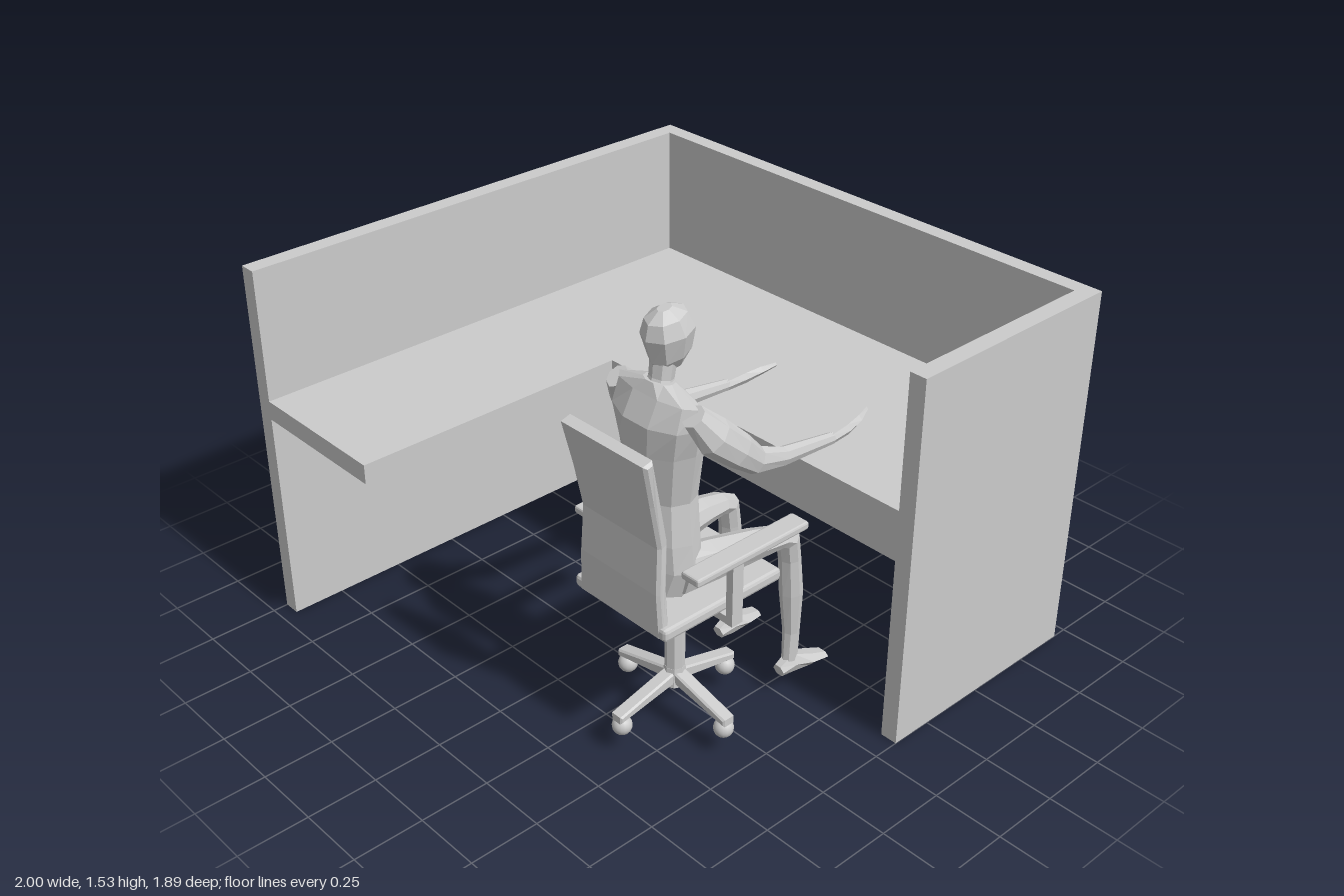
import * as THREE from 'three';
import { RoundedBoxGeometry } from 'three/addons/geometries/RoundedBoxGeometry.js';

const flat = new THREE.MeshStandardMaterial({ color: 0xcccccc, flatShading: true });
const smooth = new THREE.MeshStandardMaterial({ color: 0xcccccc });

function add(parent, name, geometry, x = 0, y = 0, z = 0, material = flat) {
  const mesh = new THREE.Mesh(geometry, material);
  mesh.name = name;
  mesh.position.set(x, y, z);
  parent.add(mesh);
  return mesh;
}

const group = (parent, name) => {
  const g = new THREE.Group();
  g.name = name;
  parent.add(g);
  return g;
};

const outline = (points) => new THREE.Shape(points.map(([a, b]) => new THREE.Vector2(a, b)));

// Floor plan given as [x, z], raised between two heights
function slab(points, bottom, top) {
  return new THREE.ExtrudeGeometry(outline(points), { depth: top - bottom, bevelEnabled: false })
    .rotateX(Math.PI / 2).translate(0, top, 0);
}

// Side profile given as [z, y], centred across the width
function sideProfile(points, width, bevel = 0.006) {
  return new THREE.ExtrudeGeometry(outline(points), {
    depth: width - 2 * bevel, bevelEnabled: true, bevelSize: bevel,
    bevelOffset: -bevel, bevelThickness: bevel, bevelSegments: 1,
  }).translate(0, 0, bevel - width / 2).rotateY(-Math.PI / 2);
}

// Faceted body through sections [x, y, z, half width, half depth]
function loft(sections, sides = 8) {
  const centres = sections.map(([x, y, z]) => new THREE.Vector3(x, y, z));
  const last = sections.length - 1;
  const positions = [], index = [];
  sections.forEach(([x, y, z, w, d], i) => {
    const t = new THREE.Vector3();
    if (i > 0) t.add(centres[i].clone().sub(centres[i - 1]).normalize());
    if (i < last) t.add(centres[i + 1].clone().sub(centres[i]).normalize());
    t.x = 0;
    t.normalize();
    for (let j = 0; j < sides; j++) {
      const a = (j / sides) * Math.PI * 2;
      const c = Math.cos(a) * w, s = Math.sin(a) * d;
      positions.push(x + c, y + t.z * s, z - t.y * s);
    }
  });
  for (let i = 0; i < last; i++) {
    for (let j = 0; j < sides; j++) {
      const a = i * sides + j, b = i * sides + (j + 1) % sides;
      index.push(a, b, b + sides, a, b + sides, a + sides);
    }
  }
  // End caps
  for (let j = 1; j < sides - 1; j++) {
    const e = last * sides;
    index.push(0, j + 1, j, e, e + j, e + j + 1);
  }
  const g = new THREE.BufferGeometry();
  g.setAttribute('position', new THREE.Float32BufferAttribute(positions, 3));
  g.setIndex(index);
  g.computeVertexNormals();
  return g;
}

function buildChair(parent) {
  const chair = group(parent, 'chair');
  const zc = 0.345;

  // Four-way base with ball casters
  for (let i = 0; i < 4; i++) {
    const leg = group(chair, 'baseLeg');
    leg.position.z = zc;
    leg.rotation.y = (i * Math.PI) / 2;
    add(leg, 'baseBeam', sideProfile([[0, 0.165], [0.03, 0.165], [0.255, 0.125], [0.255, 0.152], [0.03, 0.21], [0, 0.21]], 0.05));
    add(leg, 'casterStem', new THREE.CylinderGeometry(0.01, 0.01, 0.04, 8), 0, 0.125, 0.23);
    add(leg, 'caster', new THREE.SphereGeometry(0.034, 16, 12), 0, 0.1, 0.23, smooth);
  }
  add(chair, 'baseHub', new THREE.CylinderGeometry(0.035, 0.042, 0.07, 8), 0, 0.19, zc);
  add(chair, 'column', new THREE.CylinderGeometry(0.034, 0.034, 0.35, 8), 0, 0.37, zc);

  // Seat and backrest
  add(chair, 'seat', new RoundedBoxGeometry(0.42, 0.045, 0.5, 1, 0.012), 0, 0.562, 0.33);
  const backrest = sideProfile([[0.54, 0.545], [0.58, 0.545], [0.583, 0.7], [0.573, 0.86], [0.605, 1.02], [0.64, 1.175],
    [0.603, 1.185], [0.565, 1.02], [0.535, 0.87], [0.543, 0.7]], 0.38, 0.01);
  const p = backrest.attributes.position;
  for (let i = 0; i < p.count; i++) {
    p.setX(i, p.getX(i) * (1 - 0.07 * Math.sin((p.getY(i) - 0.545) / 0.64 * Math.PI)));
  }
  backrest.computeVertexNormals();
  add(chair, 'backrest', backrest);

  // Armrests on a bar below the seat
  add(chair, 'armBar', new THREE.BoxGeometry(0.52, 0.028, 0.045), 0, 0.528, 0.325);
  for (const s of [-1, 1]) {
    add(chair, 'armPost', new THREE.BoxGeometry(0.028, 0.25, 0.045), s * 0.246, 0.638, 0.325);
    add(chair, 'armPad', new RoundedBoxGeometry(0.075, 0.028, 0.475, 1, 0.007), s * 0.245, 0.764, 0.278);
  }
}

function buildFigure(parent) {
  const figure = group(parent, 'seatedFigure');
  add(figure, 'torso', loft([
    [0, 0.585, 0.42, 0.11, 0.08], [0, 0.68, 0.4, 0.145, 0.1], [0, 0.78, 0.4, 0.135, 0.1],
    [0, 0.92, 0.395, 0.118, 0.095], [0, 1.1, 0.402, 0.15, 0.108], [0, 1.2, 0.415, 0.175, 0.098],
    [0, 1.27, 0.415, 0.17, 0.055], [0, 1.305, 0.41, 0.055, 0.042],
  ], 10));
  add(figure, 'neck', loft([[0, 1.26, 0.415, 0.055, 0.048], [0, 1.31, 0.402, 0.04, 0.038], [0, 1.39, 0.39, 0.042, 0.042]]));
  add(figure, 'head', loft([
    [0, 1.34, 0.352, 0.03, 0.035], [0, 1.38, 0.368, 0.058, 0.074], [0, 1.455, 0.377, 0.077, 0.088],
    [0, 1.505, 0.385, 0.058, 0.07], [0, 1.53, 0.39, 0.02, 0.025],
  ]));

  for (const s of [-1, 1]) {
    const limb = (name, sections, sides) =>
      add(figure, name, loft(sections.map(([x, ...rest]) => [s * x, ...rest]), sides));
    limb('arm', [
      [0.165, 1.255, 0.43, 0.035, 0.04], [0.195, 1.18, 0.375, 0.045, 0.062], [0.22, 1.11, 0.295, 0.036, 0.056],
      [0.225, 1.05, 0.225, 0.032, 0.045], [0.232, 1.025, 0.12, 0.028, 0.032], [0.232, 1.0, -0.1, 0.018, 0.02],
    ]);
    limb('hand', [
      [0.232, 1.0, -0.09, 0.018, 0.02], [0.226, 1.005, -0.17, 0.022, 0.022],
      [0.216, 1.015, -0.23, 0.024, 0.018], [0.2, 1.02, -0.29, 0.01, 0.009],
    ], 6);
    limb('leg', [
      [0.08, 0.665, 0.42, 0.065, 0.085], [0.1, 0.665, 0.3, 0.068, 0.072], [0.125, 0.655, 0.12, 0.058, 0.05],
      [0.135, 0.64, 0.02, 0.047, 0.036], [0.138, 0.62, -0.02, 0.043, 0.04], [0.138, 0.54, -0.033, 0.04, 0.036],
      [0.14, 0.4, -0.045, 0.04, 0.04], [0.143, 0.24, -0.05, 0.028, 0.03], [0.145, 0.11, -0.045, 0.024, 0.03],
    ]);
    limb('foot', [
      [0.145, 0.1, 0.005, 0.024, 0.024], [0.145, 0.112, -0.05, 0.032, 0.042],
      [0.152, 0.096, -0.12, 0.04, 0.026], [0.16, 0.083, -0.19, 0.032, 0.013],
    ], 6);
  }
}

export function createModel() {
  const model = new THREE.Group();
  model.name = 'officeCubicle';

  // Partition walls, one side shorter than the other
  add(model, 'partitionWalls', slab([
    [-1, -0.945], [1, -0.945], [1, -0.095], [0.938, -0.095],
    [0.938, -0.885], [-0.938, -0.885], [-0.938, 0.945], [-1, 0.945],
  ], 0, 1.35));

  // Corner worktop
  add(model, 'desk', slab([
    [-0.938, -0.885], [0.938, -0.885], [0.938, -0.095],
    [-0.38, -0.095], [-0.38, 0.945], [-0.938, 0.945],
  ], 0.8, 0.87));

  // Chair and sitter facing the worktop
  const workplace = group(model, 'workplace');
  workplace.position.x = 0.417;
  buildChair(workplace);
  buildFigure(workplace);
  return model;
}
